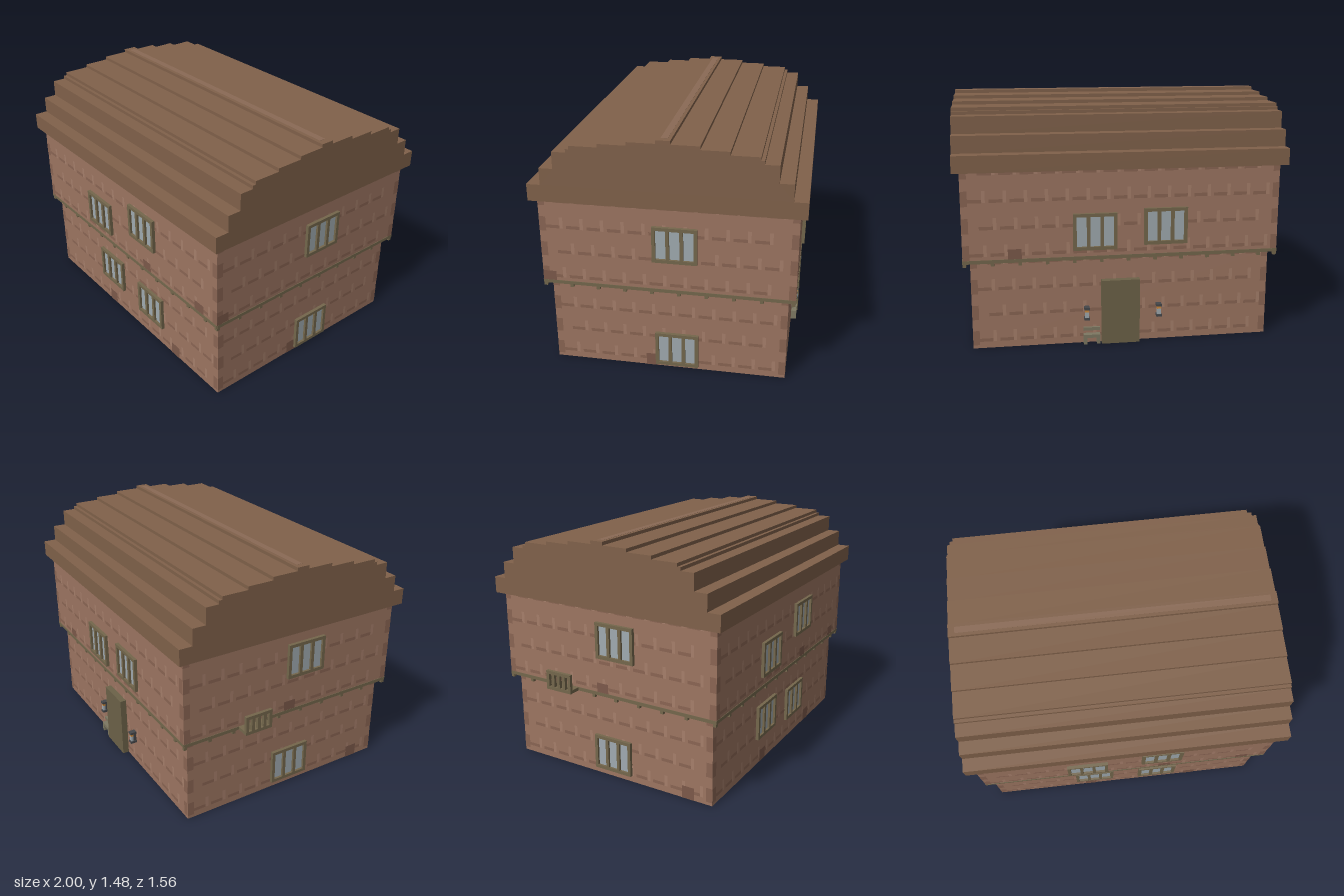
import * as THREE from 'three';
import { mergeGeometries } from 'three/addons/utils/BufferGeometryUtils.js';

const mat = (color) => new THREE.MeshStandardMaterial({ color, flatShading: true });
const M = {
  wall: mat(0x9c7561), dark: mat(0x8a6553), light: mat(0xa67f6b), stone: mat(0x7c594a),
  roof: mat(0x80614a), ridge: mat(0x8a6a55), wood: mat(0x74674c), door: mat(0x6c6248),
  glass: mat(0xa0aab0), metal: mat(0x45474a), flame: mat(0xd08a3a), bench: mat(0x7d7862),
};

// Box geometry given by its min and max corners
function span(x0, x1, y0, y1, z0, z1) {
  return new THREE.BoxGeometry(x1 - x0, y1 - y0, z1 - z0)
    .translate((x0 + x1) / 2, (y0 + y1) / 2, (z0 + z1) / 2);
}

// Flat patch facing +z
function patch(u0, u1, y0, y1, z) {
  return new THREE.PlaneGeometry(u1 - u0, y1 - y0).translate((u0 + u1) / 2, (y0 + y1) / 2, z);
}

function add(parent, name, material, ...geos) {
  const mesh = new THREE.Mesh(geos.length > 1 ? mergeGeometries(geos) : geos[0], material);
  mesh.name = name;
  parent.add(mesh);
  return mesh;
}

// Three-pane window, u0 and y0 are its lower left corner on a wall at distance w
function addWindow(side, u0, y0, w) {
  const g = new THREE.Group();
  g.name = 'window';
  const bars = [
    span(0, 0.26, 0, 0.02, 0, 0.02),
    span(0, 0.26, 0.2, 0.22, 0, 0.02),
  ];
  for (let i = 0; i < 4; i++) bars.push(span(i * 0.08, i * 0.08 + 0.02, 0.02, 0.2, 0, 0.02));
  add(g, 'windowFrame', M.wood, ...bars);
  add(g, 'windowPanes', M.glass, span(0.02, 0.24, 0.02, 0.2, 0, 0.006));
  g.position.set(u0, y0, w);
  side.add(g);
}

// Brick courses: dark joints with light upright joints, in running bond
function addBricks(side, u0, u1, yBase, yTop, w) {
  const dark = [], light = [];
  for (let row = 0; row < 4; row++) {
    const y = yBase + 0.05 + row * 0.16;
    if (y + 0.01 > yTop) continue;
    const shift = (row % 2) * 0.06;
    for (let u = u0 + 0.04 + shift; u + 0.08 < u1 - 0.04; u += 0.12) {
      dark.push(patch(u, u + 0.08, y - 0.01, y + 0.01, w + 0.001));
      light.push(patch(u + 0.08, u + 0.1, y - 0.01, Math.min(y + 0.06, yTop), w + 0.001));
    }
    // Corner stones
    const top = Math.min(y + 0.06, yTop);
    dark.push(patch(u0, u0 + 0.04, y - 0.03, top, w + 0.0015));
    dark.push(patch(u1 - 0.04, u1, y - 0.03, top, w + 0.0015));
  }
  add(side, 'brickJoints', M.dark, ...dark);
  add(side, 'brickHighlights', M.light, ...light);
}

function addLantern(side, u, w) {
  const g = new THREE.Group();
  g.name = 'lantern';
  add(g, 'lanternBody', M.metal,
    span(-0.016, 0.016, 0, 0.015, 0, 0.04),
    span(-0.016, 0.016, 0.065, 0.08, 0, 0.04),
    span(-0.01, 0.01, 0.015, 0.065, 0, 0.02));
  add(g, 'lanternGlass', M.glass, span(-0.012, 0.012, 0.015, 0.05, 0.02, 0.036));
  add(g, 'lanternFlame', M.flame, span(-0.012, 0.012, 0.05, 0.065, 0.02, 0.036));
  g.position.set(u, 0.155, w);
  side.add(g);
}

export function createModel() {
  const house = new THREE.Group();
  house.name = 'house';

  // Storeys
  add(house, 'lowerStorey', M.wall, span(-0.88, 0.92, 0, 0.54, -0.7, 0.7));
  add(house, 'upperStorey', M.wall, span(-0.92, 0.96, 0.54, 1.08, -0.74, 0.74));

  // Stepped roof, extruded along x
  const steps = [[0.78, 1.18], [0.7, 1.28], [0.62, 1.38], [0.54, 1.4],
    [0.52, 1.42], [0.36, 1.44], [0.2, 1.46], [0.04, 1.48]];
  const half = [];
  let y = 1.08;
  for (const [z, top] of steps) {
    half.push([z, y], [z, top]);
    y = top;
  }
  const outline = [...half, ...half.map(([z, h]) => [-z, h]).reverse()];
  const roofShape = new THREE.Shape(outline.map(([a, b]) => new THREE.Vector2(a, b)));
  const roofGeo = new THREE.ExtrudeGeometry(roofShape, { depth: 1.96, bevelEnabled: false });
  roofGeo.rotateY(Math.PI / 2).translate(-0.96, 0, 0);
  add(house, 'roof', M.roof, roofGeo);
  add(house, 'ridgeStrip', M.ridge, span(-0.92, 0.96, 1.47, 1.481, -0.02, 0.02));

  // Each side has its own frame: u to the viewer's right, z outwards.
  // w: lower wall distance, lo/hi: lower wall extent along u
  const sides = [
    { name: 'front', turn: 0, w: 0.7, lo: -0.88, hi: 0.92,
      upper: [[-0.36, 0.62], [0.12, 0.74]], lower: [[-0.32, 0.18], [0.12, 0.14]],
      stones: [[0.24, 0.56], [0.76, 0.56], [-0.26, 0], [0.46, 0]] },
    { name: 'leftSide', turn: Math.PI / 2, w: 0.92, lo: -0.7, hi: 0.7,
      upper: [[-0.08, 0.74]], lower: [[-0.08, 0.02]],
      stones: [[-0.74, 0.56], [-0.14, 0]] },
    { name: 'back', turn: Math.PI, w: 0.7, lo: -0.92, hi: 0.88,
      upper: [[-0.32, 0.6], [0.1, 0.62]], lower: [],
      stones: [[-0.7, 0.56]] },
    { name: 'rightSide', turn: -Math.PI / 2, w: 0.88, lo: -0.7, hi: 0.7,
      upper: [[-0.05, 0.78]], lower: [[-0.11, 0.04]],
      stones: [[-0.06, 0.56], [0.5, 0]] },
  ];
  const group = {};
  for (const s of sides) {
    const g = group[s.name] = new THREE.Group();
    g.name = s.name;
    g.rotation.y = s.turn;
    house.add(g);
    const w2 = s.w + 0.04, a = s.lo - 0.04, b = s.hi + 0.04;
    addBricks(g, s.lo, s.hi, 0, 0.54, s.w);
    addBricks(g, a, b, 0.54, 1.08, w2);
    add(g, 'darkStones', M.stone, ...s.stones.map(([u, v]) =>
      patch(u, u + 0.08, v, v + (v ? 0.06 : 0.08), (v ? w2 : s.w) + 0.002)));
    s.upper.forEach(([u, v]) => addWindow(g, u, v, w2));
    s.lower.forEach(([u, v]) => addWindow(g, u, v, s.w));

    // Floor beam with joist ends under the overhang
    add(g, 'floorBeam', M.wood, span(a, b, 0.539, 0.56, w2 - 0.02, w2 + 0.003));
    const joists = [span(a, a + 0.02, 0.52, 0.54, w2 - 0.02, w2),
      span(b - 0.02, b, 0.52, 0.54, w2 - 0.02, w2)];
    for (let u = a + 0.16; u < b - 0.1; u += 0.16) {
      joists.push(span(u, u + 0.02, 0.52, 0.54, w2 - 0.02, w2));
    }
    add(g, 'joistEnds', M.wood, ...joists);
  }

  // Door, lanterns and bench at the back
  add(group.back, 'door', M.door, span(-0.15, 0.08, 0, 0.4, 0.7, 0.74));
  addLantern(group.back, -0.24, 0.7);
  addLantern(group.back, 0.2, 0.7);
  add(group.back, 'bench', M.bench,
    span(-0.26, -0.16, 0.04, 0.06, 0.7, 0.735),
    span(-0.26, -0.16, 0.08, 0.1, 0.7, 0.715),
    span(-0.26, -0.24, 0, 0.04, 0.7, 0.735),
    span(-0.18, -0.16, 0, 0.04, 0.7, 0.735));

  // Small balcony on the right side
  const rail = [span(-0.38, -0.2, 0.64, 0.66, 0.98, 1)];
  for (let i = 0; i < 5; i++) {
    const u = -0.38 + i * 0.04;
    rail.push(span(u, u + 0.02, 0.56, 0.64, 0.98, 1));
  }
  add(group.rightSide, 'balconyRail', M.wood, ...rail);
  add(group.rightSide, 'balconyFloor', M.wood, span(-0.38, -0.2, 0.54, 0.56, 0.92, 1));

  return house;
}
